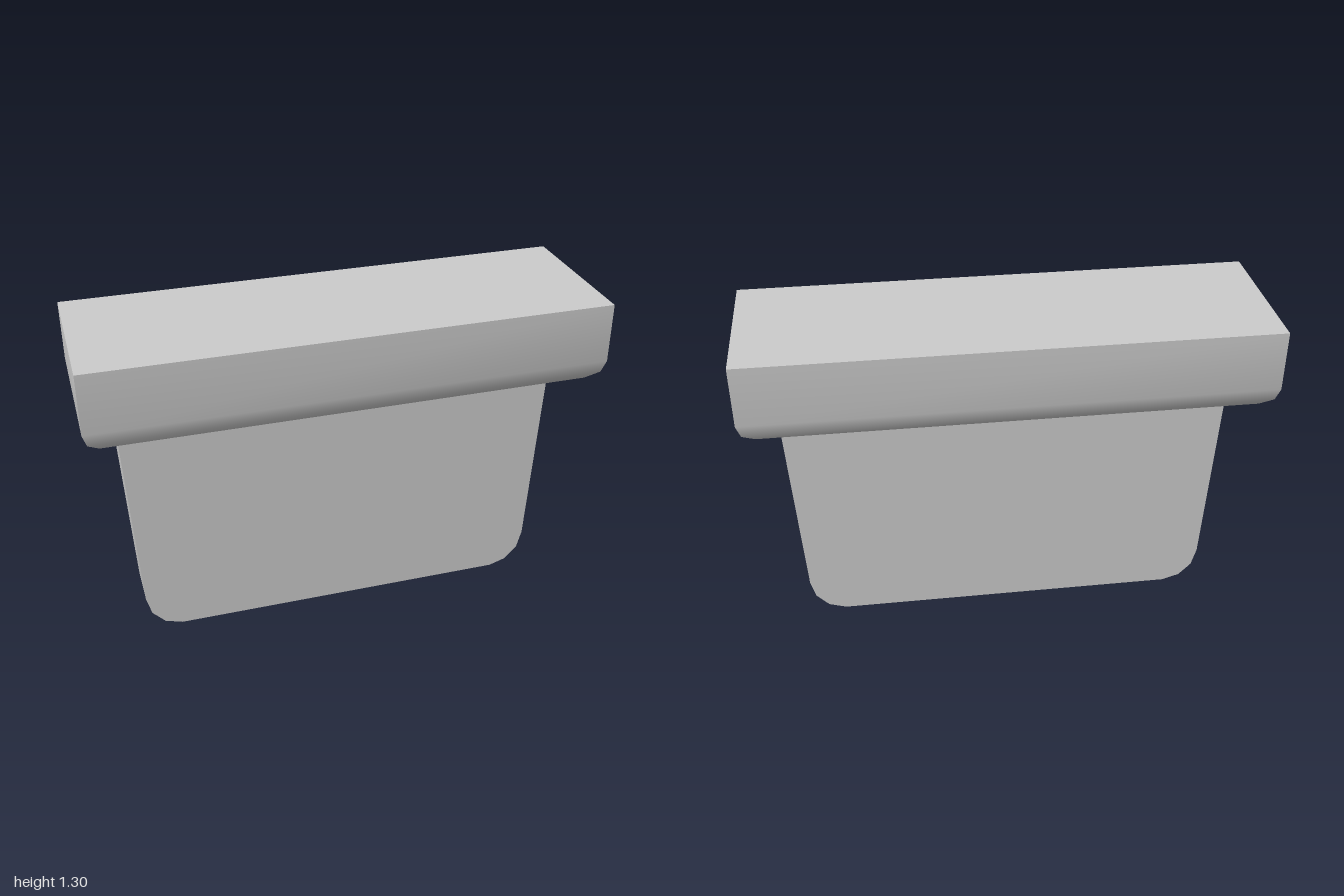
import * as THREE from 'three';
import { toCreasedNormals } from 'three/addons/utils/BufferGeometryUtils.js';

const CREASE = 0.65; // keeps box edges sharp, smooths the rounded edges

// Solid from rectangular cross-sections [halfX, y, halfZ], listed bottom to top
function loftRectangles(sections) {
  const positions = [];
  const index = [];
  for (const [x, y, z] of sections) {
    positions.push(x, y, z, x, y, -z, -x, y, -z, -x, y, z);
  }
  const quad = (a, b, c, d) => index.push(a, b, c, a, c, d);
  for (let i = 0; i < sections.length - 1; i++) {
    const lo = i * 4, hi = lo + 4;
    for (let k = 0; k < 4; k++) {
      const n = (k + 1) % 4;
      quad(lo + k, lo + n, hi + n, hi + k);
    }
  }
  const top = (sections.length - 1) * 4;
  quad(3, 2, 1, 0);
  quad(top, top + 1, top + 2, top + 3);
  const geometry = new THREE.BufferGeometry();
  geometry.setAttribute('position', new THREE.Float32BufferAttribute(positions, 3));
  geometry.setIndex(index);
  return toCreasedNormals(geometry, CREASE);
}

export function createModel() {
  const group = new THREE.Group();
  const material = new THREE.MeshStandardMaterial({ color: 0xcccccc });

  const add = (name, geometry) => {
    const mesh = new THREE.Mesh(geometry, material);
    mesh.name = name;
    group.add(mesh);
  };

  // Top bar with a rounded underside
  add('topBar', loftRectangles([
    [0.87, 0.965, 0.2],
    [0.942, 0.979, 0.255],
    [0.985, 1.02, 0.297],
    [1, 1.07, 0.31],
    [1, 1.305, 0.31],
  ]));

  // Tapered upright plate with rounded lower corners, mirrored about x = 0
  const right = [[0.685, 0], [0.755, 0.022], [0.805, 0.075], [0.825, 0.15], [0.87, 0.965]];
  const left = right.map(([x, y]) => [-x, y]).reverse();
  const outline = [...right, ...left].map(([x, y]) => new THREE.Vector2(x, y));
  const depth = 0.184;
  const plate = new THREE.ExtrudeGeometry(new THREE.Shape(outline), { depth, bevelEnabled: false });
  plate.translate(0, 0, -depth / 2);
  add('uprightPlate', toCreasedNormals(plate, CREASE));

  return group;
}
